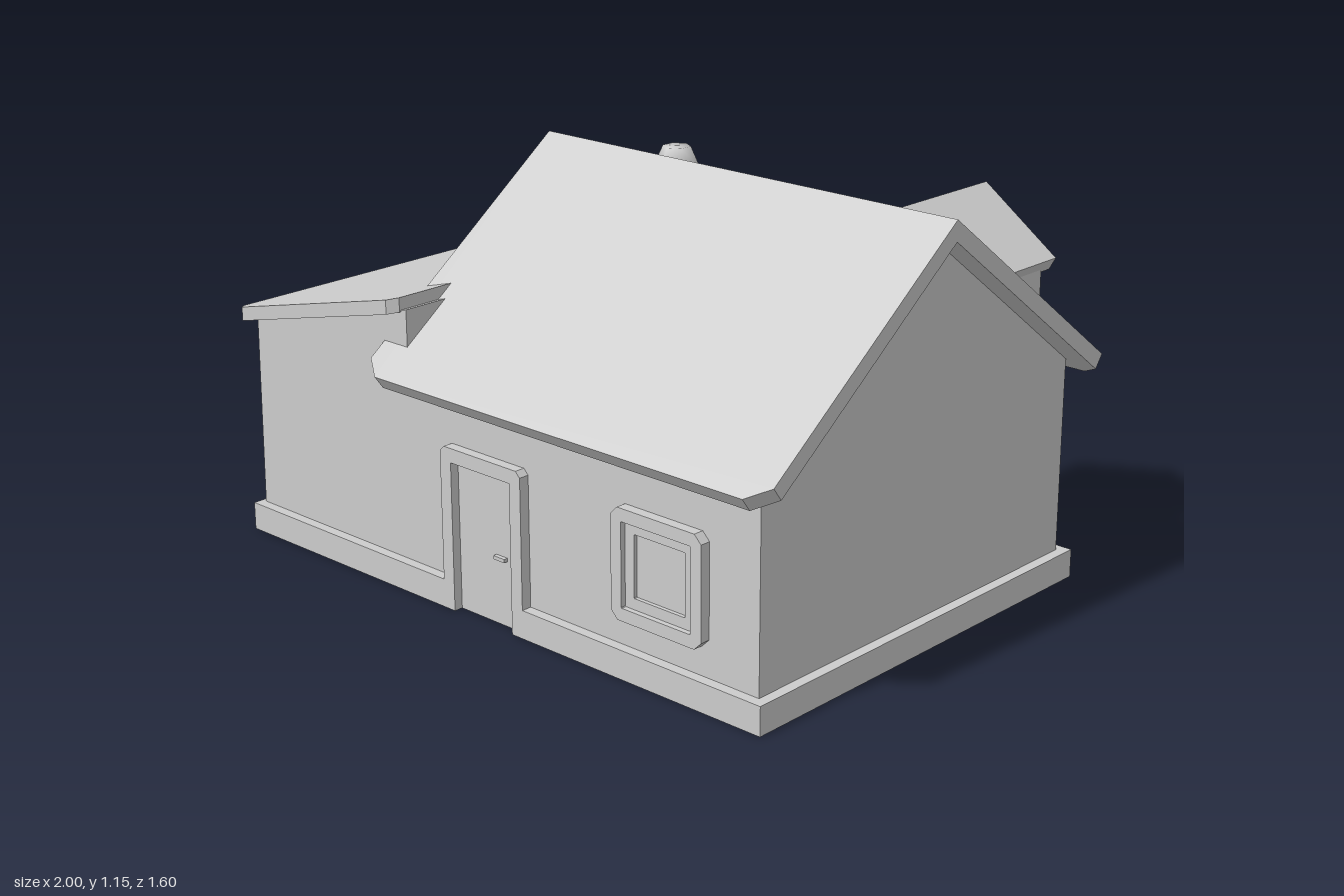
import * as THREE from 'three';

const plaster = new THREE.MeshStandardMaterial({ color: 0xcccccc });
plaster.name = 'plain grey';

const toShape = pts => new THREE.Shape(pts.map(p => new THREE.Vector2(p[0], p[1])));

function add(parent, name, geometry, x = 0, y = 0, z = 0) {
  const mesh = new THREE.Mesh(geometry, plaster);
  mesh.name = name;
  mesh.position.set(x, y, z);
  parent.add(mesh);
  return mesh;
}

// Box given by its minimum and maximum corners
function block(parent, name, x0, x1, y0, y1, z0, z1) {
  return add(parent, name, new THREE.BoxGeometry(x1 - x0, y1 - y0, z1 - z0),
    (x0 + x1) / 2, (y0 + y1) / 2, (z0 + z1) / 2);
}

const extrude = (shape, depth) => new THREE.ExtrudeGeometry(shape, { depth, bevelEnabled: false });

// Rectangle with cut corners
function cutRect(x0, x1, y0, y1, c) {
  return [[x0 + c, y0], [x1 - c, y0], [x1, y0 + c], [x1, y1 - c],
    [x1 - c, y1], [x0 + c, y1], [x0, y1 - c], [x0, y0 + c]];
}

function ring(outer, inner, depth) {
  const shape = toShape(outer);
  shape.holes.push(toShape(inner));
  return extrude(shape, depth);
}

// Frame, inner sash and pane; local z = 0 is the wall face
function makeWindow(x, y, w, h, mullion) {
  const g = new THREE.Group();
  const a = w / 2, b = h / 2;
  const rect = i => cutRect(-a + i, a - i, -b + i, b - i, 0.002);
  add(g, 'windowFrame', ring(cutRect(-a, a, -b, b, 0.022), rect(0.035), 0.03));
  add(g, 'windowSash', ring(rect(0.035), rect(0.065), 0.015));
  block(g, 'windowPane', -a + 0.06, a - 0.06, -b + 0.06, b - 0.06, -0.003, 0.004);
  if (mullion) block(g, 'mullion', -0.012, 0.012, -b + 0.06, b - 0.06, 0, 0.015);
  g.position.set(x, y, 0);
  g.name = 'window';
  return g;
}

// Upside-down U frame with a door leaf and handle
function makeDoor(x, w, h, handleX, handleY, handleW) {
  const g = new THREE.Group();
  const a = w / 2, t = 0.04;
  add(g, 'doorFrame', extrude(toShape([[-a, 0], [-a + t, 0], [-a + t, h - t], [a - t, h - t],
    [a - t, 0], [a, 0], [a, h - 0.015], [a - 0.015, h], [-a + 0.015, h], [-a, h - 0.015]]), 0.03));
  block(g, 'doorLeaf', -a + t, a - t, 0, h - t, -0.003, 0.004);
  block(g, 'doorHandle', handleX - handleW / 2, handleX + handleW / 2,
    handleY - 0.005, handleY + 0.005, 0.004, 0.016);
  g.position.x = x;
  g.name = 'door';
  return g;
}

// Half of the main roof: a slab with cut eave corners, sloping to +z or -z
function roofSlope(parent, side) {
  const rise = 0.53, run = 0.71, len = Math.hypot(rise, run), t = 0.045;
  const s = rise / len, c = run / len;
  const geo = extrude(toShape([[-0.4, 0], [1, 0], [1, len - 0.05], [0.94, len],
    [-0.34, len], [-0.4, len - 0.05]]), t);
  if (side < 0) geo.translate(0, 0, -t);
  geo.applyMatrix4(new THREE.Matrix4().makeBasis(
    new THREE.Vector3(1, 0, 0),
    new THREE.Vector3(0, -s, side * c),
    new THREE.Vector3(0, -side * c, -s)));
  add(parent, 'mainRoof', geo, 0, 1.15, 0.09);
}

export function createModel() {
  const house = new THREE.Group();
  house.name = 'house';
  const front = 0.71, back = -0.53;

  // Main walls with gable ends
  const gable = extrude(toShape([[-front, 0], [-back, 0], [-back, 0.63], [-0.09, 1.095], [-front, 0.63]]), 1.24);
  gable.rotateY(Math.PI / 2);
  add(house, 'mainWalls', gable, -0.32);

  roofSlope(house, 1);
  roofSlope(house, -1);

  // Garage wing under a lean-to roof
  add(house, 'wingWalls', extrude(toShape([[-0.955, 0], [-0.31, 0], [-0.31, 0.79], [-0.945, 0.635]]),
    front - back), 0, 0, back);
  const lean = extrude(toShape(cutRect(-1, -0.33, -0.74, 0.58, 0.025)), 0.04);
  lean.rotateX(-Math.PI / 2);
  const lp = lean.attributes.position;
  for (let i = 0; i < lp.count; i++) lp.setY(i, lp.getY(i) + 0.62 + (lp.getX(i) + 1) * 0.239);
  lean.computeVertexNormals();
  add(house, 'wingRoof', lean);

  // Plinth, left open at the doors
  const strips = [
    [-0.97, -0.16, front, 0.74], [0.14, 0.95, front, 0.74],
    [-0.97, -0.88, -0.56, back], [-0.38, 0.47, -0.56, back], [0.77, 0.95, -0.56, back],
    [-0.97, -0.95, back, front], [0.92, 0.95, back, front],
  ];
  for (const [x0, x1, z0, z1] of strips) block(house, 'plinth', x0, x1, 0, 0.08, z0, z1);

  // Front openings
  const frontSide = new THREE.Group();
  frontSide.name = 'frontOpenings';
  frontSide.position.z = front;
  frontSide.add(makeDoor(-0.01, 0.3, 0.46, 0.05, 0.19, 0.04), makeWindow(0.61, 0.31, 0.3, 0.3, false));
  house.add(frontSide);

  // Back openings, turned round so local x runs the other way
  const backSide = new THREE.Group();
  backSide.name = 'backOpenings';
  backSide.position.z = back;
  backSide.rotation.y = Math.PI;
  backSide.add(makeDoor(-0.62, 0.3, 0.46, 0.06, 0.19, 0.04),
    makeWindow(0.015, 0.32, 0.47, 0.28, true),
    makeDoor(0.63, 0.5, 0.46, 0, 0.06, 0.05));
  house.add(backSide);

  // Dormer on the back slope
  const dormer = new THREE.Group();
  dormer.name = 'dormer';
  dormer.position.x = 0.608;
  add(dormer, 'dormerWalls', extrude(toShape([[-0.22, 0.66], [0.22, 0.66], [0.22, 0.86],
    [0, 1.02], [-0.22, 0.86]]), 0.4), 0, 0, back);
  add(dormer, 'dormerRoof', extrude(toShape([[0, 1.055], [-0.235, 0.885], [-0.215, 0.85], [0, 1.005],
    [0.215, 0.85], [0.235, 0.885]]), 0.538), 0, 0, -0.575);
  const tri = k => [[-0.165 * k, 0.88 - 0.052 * k], [0.165 * k, 0.88 - 0.052 * k], [0, 0.88 + 0.08 * k]];
  add(dormer, 'dormerWindowFrame', ring(tri(1), tri(0.66), 0.03), 0, 0, back - 0.03);
  add(dormer, 'dormerWindowSash', ring(tri(0.66), tri(0.42), 0.015), 0, 0, back - 0.015);
  house.add(dormer);

  // Roof vent with a faceted cap
  const profile = pts => pts.map(p => new THREE.Vector2(p[0], p[1]));
  add(house, 'roofVent', new THREE.LatheGeometry(profile([[0.035, 0.9], [0.035, 1.0], [0.066, 1.05],
    [0.04, 1.108], [0, 1.108]]), 6), -0.14, 0, -0.15);

  // Planter tray against the back wall
  const tray = ring([[-0.32, 0.55], [0.29, 0.55], [0.285, 0.78], [0.25, 0.8], [-0.28, 0.8], [-0.31, 0.78]],
    [[-0.28, 0.57], [0.25, 0.57], [0.24, 0.76], [-0.27, 0.76]], 0.08);
  tray.rotateX(-Math.PI / 2);
  add(house, 'planterRim', tray);
  block(house, 'planterSoil', -0.29, 0.26, 0, 0.045, -0.77, -0.54);

  // Two faceted bushes
  for (const [x, r, h] of [[0.1, 0.1, 0.24], [-0.13, 0.105, 0.18]]) {
    add(house, 'bush', new THREE.LatheGeometry(profile([[0, 0], [r * 0.75, 0], [r, h * 0.45],
      [r * 0.45, h], [0, h]]), 6), x, 0.04, -0.675);
  }
  return house;
}
